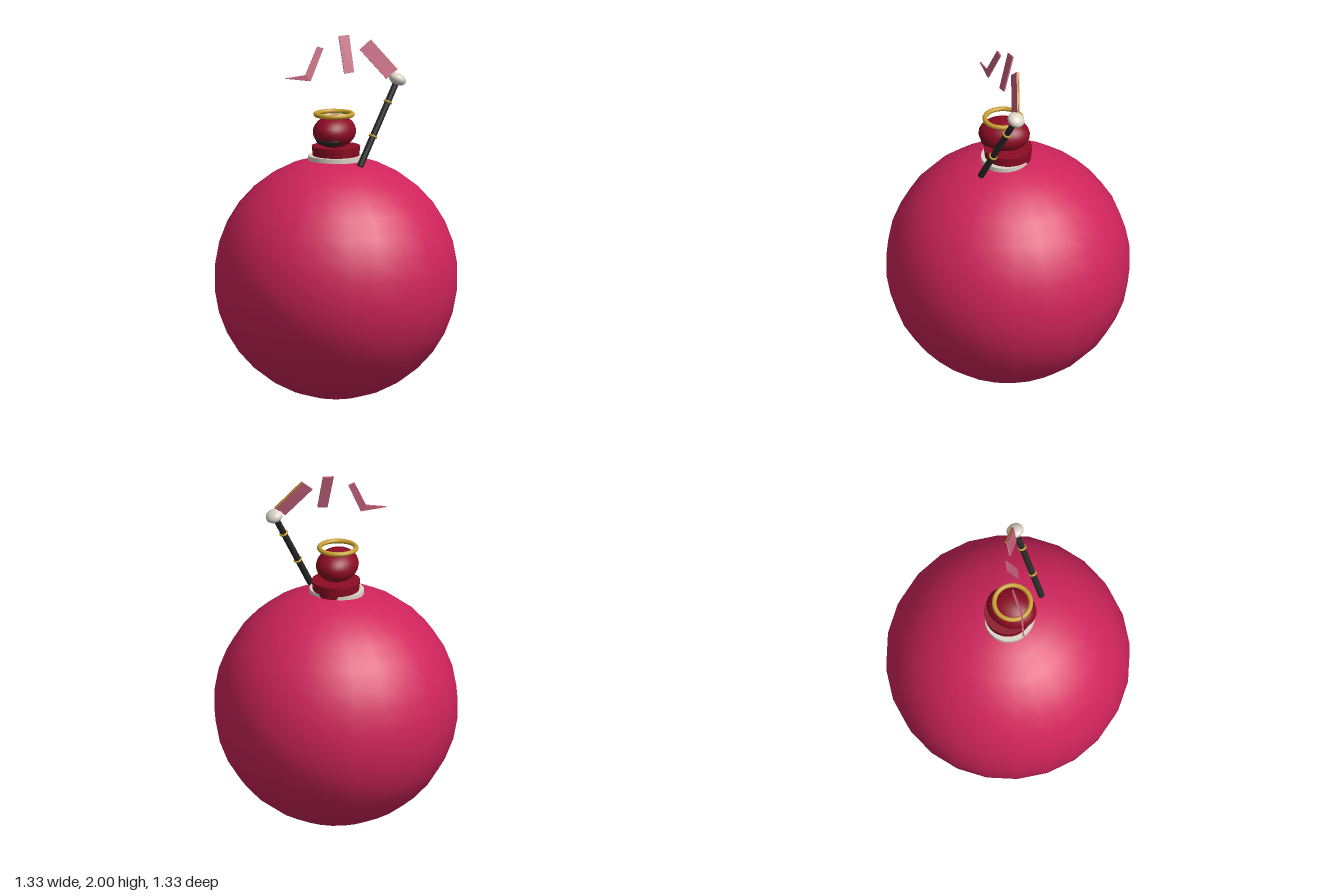
import * as THREE from 'three';

const mat = (name, color, opts = {}) => {
  const m = new THREE.MeshStandardMaterial({ color, ...opts });
  m.name = name;
  return m;
};

// Thin prism from a 3D corner loop (fan from the first corner)
function plate(corners, thickness) {
  const p = corners.map(c => new THREE.Vector3(...c));
  const n = p.length;
  const normal = p[1].clone().sub(p[0]).cross(p[n - 1].clone().sub(p[0])).normalize();
  const front = p.map(v => v.clone().addScaledVector(normal, thickness / 2));
  const back = p.map(v => v.clone().addScaledVector(normal, -thickness / 2));
  const out = [];
  const tri = (...vs) => vs.forEach(v => out.push(v.x, v.y, v.z));
  for (let i = 1; i < n - 1; i++) {
    tri(front[0], front[i], front[i + 1]);
    tri(back[0], back[i + 1], back[i]);
  }
  for (let i = 0; i < n; i++) {
    const j = (i + 1) % n;
    tri(back[i], back[j], front[j]);
    tri(back[i], front[j], front[i]);
  }
  const g = new THREE.BufferGeometry();
  g.setAttribute('position', new THREE.Float32BufferAttribute(out, 3));
  g.computeVertexNormals();
  return g;
}

export function createModel() {
  const model = new THREE.Group();
  const crimson = mat('crimson', 0xd0245c);
  const darkRed = mat('dark red', 0x8c0c24);
  const gold = mat('gold', 0xc9a030);
  const ivory = mat('ivory', 0xdcd6c8);
  const black = mat('black', 0x262626);
  const pink = mat('pink', 0xc4627c, { side: THREE.DoubleSide });

  const add = (parent, name, geometry, material, pos = [0, 0, 0], scale = [1, 1, 1]) => {
    const m = new THREE.Mesh(geometry, material);
    m.name = name;
    m.position.set(...pos);
    m.scale.set(...scale);
    parent.add(m);
    return m;
  };

  // Round body
  add(model, 'body', new THREE.SphereGeometry(0.666, 24, 17), crimson, [0, 0.666, 0]);

  // Neck trim and collar
  add(model, 'neckTrim', new THREE.CylinderGeometry(0.15, 0.15, 0.025, 32), ivory, [0, 1.325, 0.012], [1, 1, 0.9]);
  add(model, 'collar', new THREE.CylinderGeometry(0.132, 0.124, 0.075, 32), darkRed, [0, 1.352, 0]);

  // Head with a dark lower face patch and a ring on top
  add(model, 'head', new THREE.SphereGeometry(1, 28, 20), darkRed, [0, 1.472, 0.021], [0.113, 0.09, 0.141]);
  add(model, 'facePatch', new THREE.SphereGeometry(1, 20, 14), black, [0, 1.431, 0.1], [0.072, 0.03, 0.05]);
  add(model, 'headRing', new THREE.TorusGeometry(0.1, 0.013, 10, 36), gold, [0, 1.567, 0.027])
    .rotation.x = Math.PI / 2;

  // Leaning staff, built along its own y axis
  const foot = new THREE.Vector3(0.19, 1.305, 0.112);
  const tip = new THREE.Vector3(0.318, 1.76, -0.108);
  const length = foot.distanceTo(tip);
  const staff = new THREE.Group();
  staff.name = 'staff';
  staff.position.copy(foot);
  staff.quaternion.setFromUnitVectors(new THREE.Vector3(0, 1, 0), tip.clone().sub(foot).normalize());
  add(staff, 'staffShaft', new THREE.CylinderGeometry(0.017, 0.018, length, 12), black, [0, length / 2, 0]);
  for (const t of [0.345, 0.74])
    add(staff, 'staffBand', new THREE.TorusGeometry(0.019, 0.006, 8, 20), gold, [0, length * t, 0])
      .rotation.x = Math.PI / 2;
  add(staff, 'staffKnob', new THREE.SphereGeometry(0.048, 20, 14), ivory, [0, length, 0], [1, 0.68, 1]);
  model.add(staff);

  // Floating arc of blade segments
  const blades = {
    innerBlade: [[0.12, 1.92, -0.045], [0.265, 1.762, -0.078], [0.312, 1.812, -0.118], [0.168, 1.972, -0.085]],
    middleBlade: [[0.012, 1.993, -0.005], [0.062, 1.795, 0.032], [0.107, 1.802, 0], [0.06, 1.998, -0.04]],
    tipBlade: [[-0.095, 1.758, 0.128], [-0.052, 1.93, 0.052], [-0.08, 1.942, 0.073], [-0.122, 1.792, 0.14], [-0.22, 1.775, 0.198]],
  };
  for (const [name, corners] of Object.entries(blades))
    add(model, name, plate(corners, 0.009), pink);

  // Gold trim along the outer edge of the first blade
  add(model, 'bladeTrim', plate([[0.164, 1.968, -0.09], [0.308, 1.808, -0.123], [0.311, 1.811, -0.126], [0.167, 1.971, -0.093]], 0.008), gold);

  return model;
}
